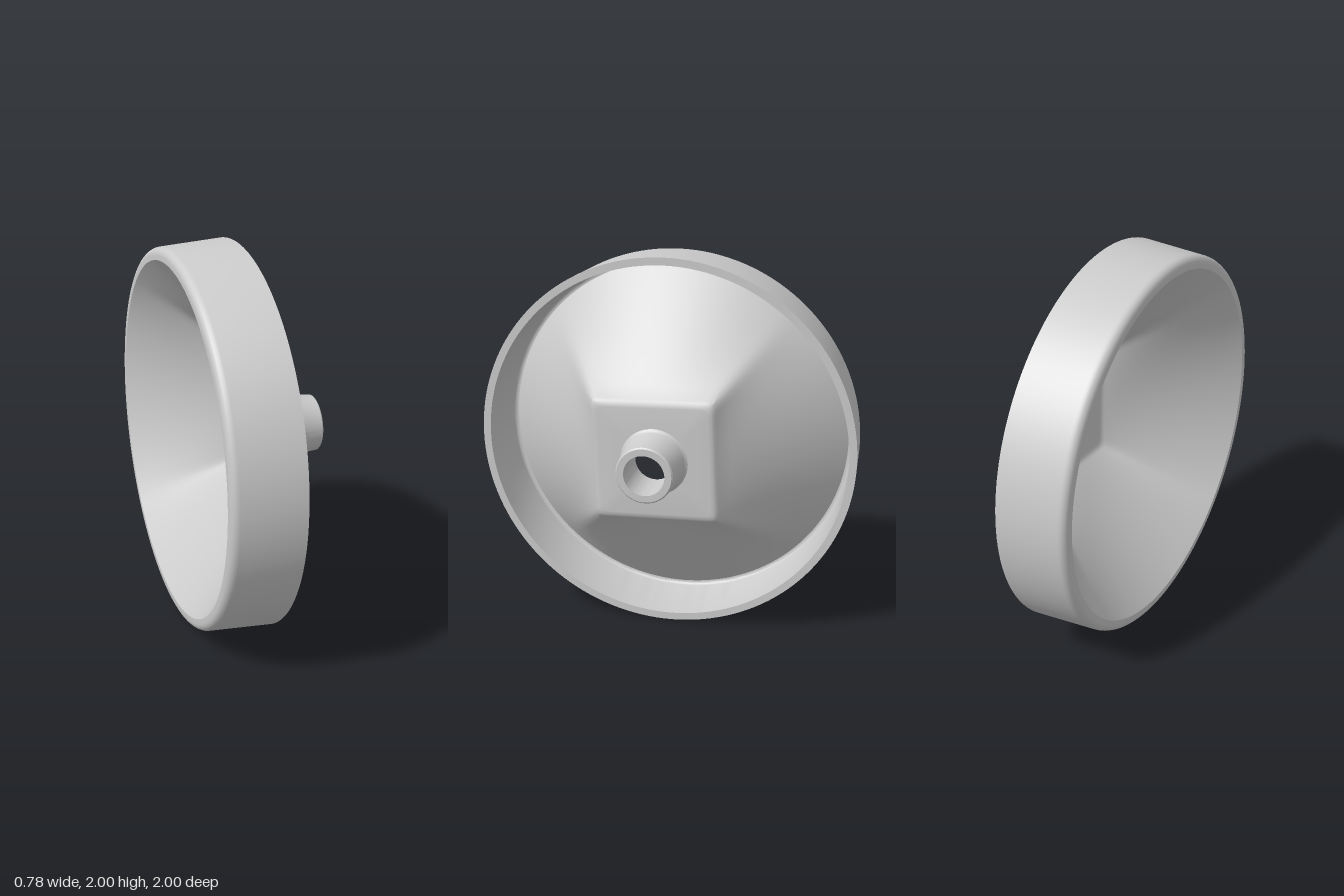
import * as THREE from 'three';
import { toCreasedNormals } from 'three/addons/utils/BufferGeometryUtils.js';

const SEGMENTS = 144;
const TWIST = THREE.MathUtils.degToRad(2.5);

// Radius factor of a square with softly rounded corners, slightly turned about the axle
function squareFactor(a) {
  const p = 24;
  const c = Math.abs(Math.cos(a - TWIST)), s = Math.abs(Math.sin(a - TWIST));
  return Math.pow(c ** p + s ** p, -1 / p);
}

// Closed shell around the x axis; each section is [x, round radius, square half-width]
function loft(sections) {
  const positions = [], index = [], n = sections.length;
  for (const [x, round, square = 0] of sections) {
    for (let j = 0; j < SEGMENTS; j++) {
      const a = (j / SEGMENTS) * Math.PI * 2;
      const r = round + square * squareFactor(a);
      positions.push(x, r * Math.cos(a), r * Math.sin(a));
    }
  }
  for (let i = 0; i < n; i++) {
    const k = (i + 1) % n;
    for (let j = 0; j < SEGMENTS; j++) {
      const m = (j + 1) % SEGMENTS;
      const a = i * SEGMENTS + j, b = i * SEGMENTS + m;
      const c = k * SEGMENTS + j, d = k * SEGMENTS + m;
      index.push(a, b, c, b, d, c);
    }
  }
  const g = new THREE.BufferGeometry();
  g.setAttribute('position', new THREE.Float32BufferAttribute(positions, 3));
  g.setIndex(index);
  return toCreasedNormals(g, 0.6);
}

// Evenly spaced sections from one section to another
function span(from, to, steps) {
  return Array.from({ length: steps + 1 }, (_, i) =>
    from.map((v, k) => THREE.MathUtils.lerp(v, to[k], i / steps)));
}

// Quarter-round points [x, r] about a centre
function arc(x, r, radius, start, end, steps = 5) {
  return Array.from({ length: steps + 1 }, (_, i) => {
    const a = THREE.MathUtils.lerp(start, end, i / steps);
    return [x + radius * Math.cos(a), r + radius * Math.sin(a)];
  });
}

export function createModel() {
  const group = new THREE.Group();
  const material = new THREE.MeshStandardMaterial({ color: 0xcccccc });
  const add = (name, sections) => {
    const mesh = new THREE.Mesh(loft(sections), material);
    mesh.name = name;
    mesh.position.y = 1;
    group.add(mesh);
  };

  // Slightly flared rim with a rounded back edge and a filleted groove floor
  add('rim', [
    [-0.39, 0.915],
    ...arc(-0.35, 0.94, 0.04, Math.PI, Math.PI / 2),
    [-0.03, 1], [-0.03, 0.96],
    ...arc(-0.34, 0.925, 0.02, Math.PI / 2, Math.PI, 4),
    [-0.36, 0.915],
  ]);

  // Dished web blending from the round rim into a square hub plate
  add('web', [
    ...span([-0.36, 0.92, 0], [0.165, 0, 0.325], 10),
    [0.178, 0, 0.316], [0.187, 0, 0.304], [0.19, 0, 0.285],
    [0.19, 0.105, 0], [0.16, 0.105, 0], [0.152, 0.115, 0], [0.15, 0.13, 0],
    [0.15, 0, 0.26], [0.147, 0, 0.277], [0.138, 0, 0.29],
    ...span([0.13, 0, 0.298], [-0.39, 0.915, 0], 10),
  ]);

  // Tapered, bored hub with a small fillet at its foot
  add('hub', [
    [0.189, 0.178], [0.195, 0.168], [0.205, 0.161],
    [0.383, 0.147], [0.39, 0.14], [0.39, 0.105],
    [0.165, 0.105], [0.165, 0.15],
  ]);

  return group;
}
